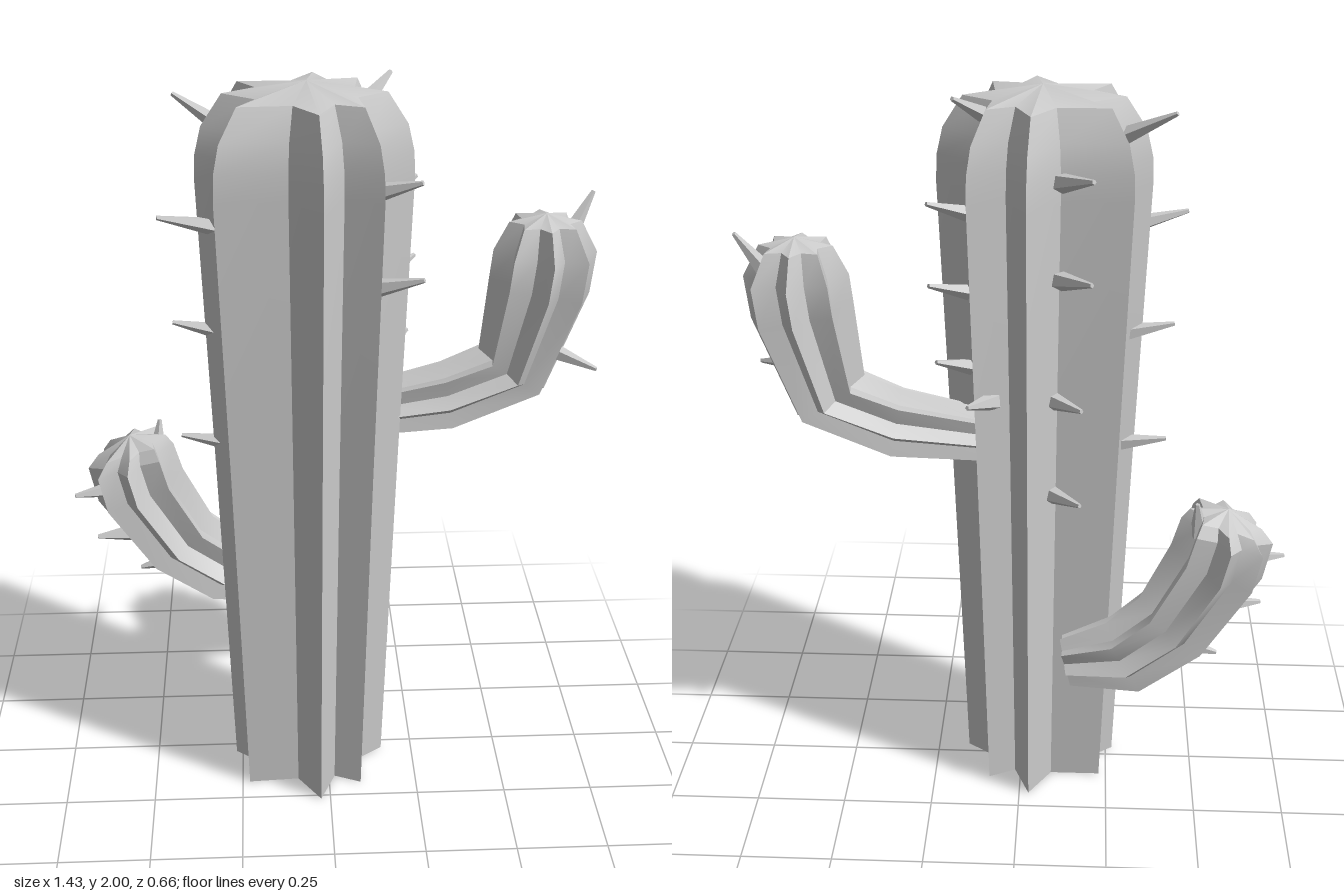
import * as THREE from 'three';
import { toCreasedNormals } from 'three/addons/utils/BufferGeometryUtils.js';

const material = new THREE.MeshStandardMaterial({ color: 0xcccccc, side: THREE.DoubleSide });

// Skin a list of equal-length rings (arrays of Vector3) and close the end with a tip
function loft(name, rings, tip, crease) {
  const n = rings[0].length;
  const positions = [...rings.flat(), tip].flatMap((p) => [p.x, p.y, p.z]);
  const index = [];
  rings.forEach((ring, i) => {
    for (let j = 0; j < n; j++) {
      const a = i * n + j, b = i * n + (j + 1) % n;
      if (i < rings.length - 1) index.push(a, a + n, b, b, a + n, b + n);
      else index.push(a, rings.length * n, b);
    }
  });
  const geo = new THREE.BufferGeometry();
  geo.setAttribute('position', new THREE.Float32BufferAttribute(positions, 3));
  geo.setIndex(index);
  const mesh = new THREE.Mesh(toCreasedNormals(geo, crease), material);
  mesh.name = name;
  return mesh;
}

// Trunk: slightly uneven eight-pointed star, widening upward and rounded in at the top
function makeTrunk() {
  const cx = -0.05, cz = 0.035;
  const star = [ // ridge, valley, ridge, valley ... as x, z
    [0.22, 0.035], [0.115, 0.11], [0.13, 0.24], [0.035, 0.2],
    [-0.02, 0.33], [-0.1, 0.21], [-0.28, 0.22], [-0.22, 0.12],
    [-0.33, 0.035], [-0.22, -0.045], [-0.28, -0.13], [-0.1, -0.13],
    [-0.02, -0.255], [0.035, -0.12], [0.13, -0.165], [0.115, -0.04],
  ];
  const profile = [[0, 0.78], [1, 0.9], [1.75, 1], [1.82, 0.99], [1.89, 0.93], [1.97, 0.74]];
  const rings = profile.map(([y, s]) =>
    star.map(([x, z]) => new THREE.Vector3(cx + (x - cx) * s, y, cz + (z - cz) * s)));
  return loft('trunk', rings, new THREE.Vector3(cx, 2, cz), 0.5);
}

// Arm: star-shaped rings along a path; each ring is x, y, z, radius, heading in degrees from +x
function makeArm(name, path, tip) {
  const rings = path.map(([x, y, z, r, deg]) => {
    const h = THREE.MathUtils.degToRad(deg);
    return Array.from({ length: 16 }, (_, j) => {
      const a = (j / 16) * Math.PI * 2;
      const k = j % 2 ? r * 0.68 : r;
      const u = Math.cos(a) * k;
      return new THREE.Vector3(x + Math.sin(h) * u, y - Math.cos(h) * u, z + Math.sin(a) * k * 1.06);
    });
  });
  return loft(name, rings, new THREE.Vector3(...tip), 0.45);
}

// Spine: thin faceted cone from a base point to its tip
function makeSpine(name, base, tip) {
  const a = new THREE.Vector3(...base), b = new THREE.Vector3(...tip);
  const dir = b.clone().sub(a);
  const geo = new THREE.CylinderGeometry(0.006, 0.026, dir.length(), 5).toNonIndexed();
  geo.computeVertexNormals();
  const mesh = new THREE.Mesh(geo, material);
  mesh.name = name;
  mesh.position.copy(a).add(b).multiplyScalar(0.5);
  mesh.quaternion.setFromUnitVectors(new THREE.Vector3(0, 1, 0), dir.normalize());
  return mesh;
}

export function createModel() {
  const cactus = new THREE.Group();
  cactus.name = 'cactus';
  cactus.add(makeTrunk());

  // Tall left arm and short right arm
  cactus.add(makeArm('leftArm', [
    [0.1, 1.08, -0.045, 0.075, 0],
    [0.33, 1.115, -0.055, 0.097, 10],
    [0.505, 1.19, -0.055, 0.11, 57],
    [0.567, 1.43, -0.055, 0.137, 80],
    [0.577, 1.525, -0.055, 0.137, 88],
    [0.573, 1.605, -0.055, 0.095, 90],
  ], [0.575, 1.627, -0.055]));
  cactus.add(makeArm('rightArm', [
    [-0.13, 0.46, -0.19, 0.07, 165],
    [-0.29, 0.5, -0.21, 0.11, 150],
    [-0.42, 0.6, -0.2, 0.12, 126],
    [-0.527, 0.785, -0.19, 0.133, 112],
    [-0.55, 0.88, -0.19, 0.128, 107],
    [-0.545, 0.915, -0.19, 0.1, 107],
  ], [-0.55, 0.945, -0.19]));

  // Spines, grouped by the side they grow from
  const spines = {
    trunkRightSpine: [
      [[-0.24, 1.87, 0.015], [-0.38, 1.95, -0.05]],
      [[-0.27, 1.635, 0.045], [-0.425, 1.67, 0.07]],
      [[-0.26, 1.345, 0.03], [-0.4, 1.375, 0.03]],
      [[-0.25, 1.025, 0.03], [-0.39, 1.045, 0.02]],
    ],
    trunkLeftSpine: [
      [[0.08, 1.92, 0.01], [0.165, 1.99, -0.09]],
      [[0.12, 1.67, 0.01], [0.235, 1.725, -0.08]],
      [[0.12, 1.46, 0.01], [0.235, 1.51, -0.08]],
      [[0.12, 1.25, 0.01], [0.22, 1.3, -0.08]],
    ],
    trunkFrontSpine: [
      [[0.11, 1.76, 0.18], [0.22, 1.8, 0.235]],
      [[0.11, 1.515, 0.18], [0.23, 1.555, 0.235]],
    ],
    trunkBackSpine: [
      [[-0.1, 1.8, -0.14], [-0.18, 1.84, -0.265]],
      [[-0.1, 1.55, -0.14], [-0.18, 1.585, -0.265]],
      [[-0.08, 1.215, -0.12], [-0.16, 1.235, -0.23]],
      [[-0.08, 0.94, -0.12], [-0.16, 0.965, -0.23]],
      [[0.07, 1.21, -0.12], [0.13, 1.235, -0.22]],
    ],
    leftArmSpine: [
      [[0.645, 1.55, -0.1], [0.71, 1.66, -0.135]],
      [[0.59, 1.265, -0.01], [0.71, 1.235, 0.065]],
    ],
    rightArmSpine: [
      [[-0.6, 0.785, -0.17], [-0.71, 0.78, -0.14]],
      [[-0.55, 0.64, -0.17], [-0.655, 0.64, -0.15]],
      [[-0.45, 0.53, -0.2], [-0.54, 0.505, -0.2]],
      [[-0.475, 0.88, -0.21], [-0.465, 0.975, -0.225]],
    ],
  };
  for (const [name, list] of Object.entries(spines)) {
    for (const [base, tip] of list) cactus.add(makeSpine(name, base, tip));
  }
  return cactus;
}
